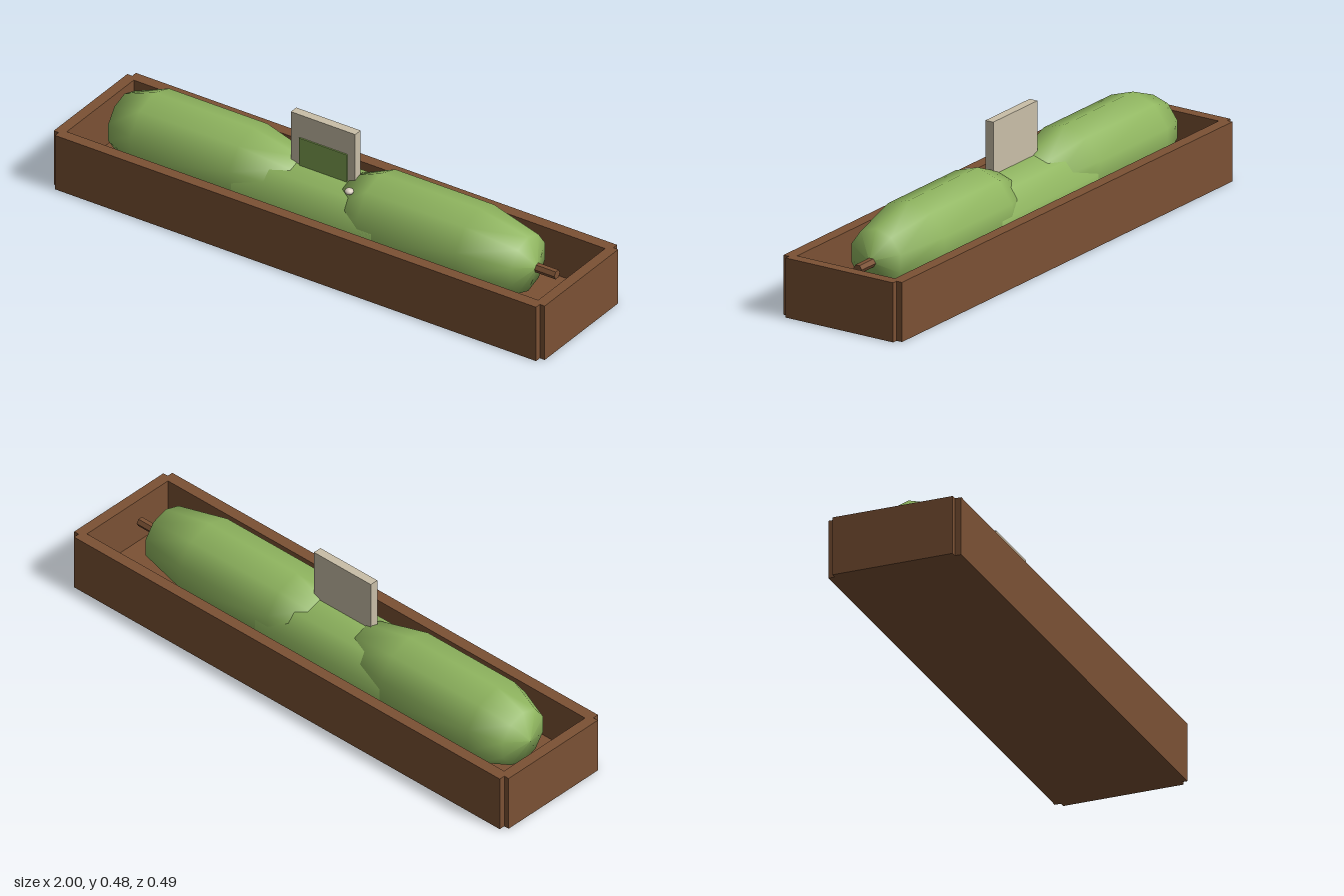
import * as THREE from 'three';

export function createModel() {
  const model = new THREE.Group();
  model.name = 'planterBox';

  const material = (name, color) => {
    const m = new THREE.MeshStandardMaterial({ color });
    m.name = name;
    return m;
  };
  const wood = material('brownWood', 0x7b5134);
  const leaf = material('leafGreen', 0x8fb55f);
  const board = material('paleBoard', 0xc9bfa8);
  const panelGreen = material('panelGreen', 0x80a352);
  const petal = material('palePetal', 0xd9cdbf);

  const add = (name, geometry, mat) => {
    const mesh = new THREE.Mesh(geometry, mat);
    mesh.name = name;
    model.add(mesh);
    return mesh;
  };

  // Box given by its extents on each axis
  const block = (name, mat, [x0, x1], [y0, y1], [z0, z1]) =>
    add(name, new THREE.BoxGeometry(x1 - x0, y1 - y0, z1 - z0), mat)
      .position.set((x0 + x1) / 2, (y0 + y1) / 2, (z0 + z1) / 2);

  // Trough: floor, long walls and slightly narrower end walls that stick out
  const rim = 0.213;
  block('floor', wood, [-0.97, 0.97], [0, 0.04], [-0.21, 0.21]);
  block('frontWall', wood, [-0.98, 0.98], [0, rim], [0.2, 0.2425]);
  block('backWall', wood, [-0.98, 0.98], [0, rim], [-0.2425, -0.2]);
  block('leftEndWall', wood, [0.96, 1], [0, rim], [-0.22, 0.22]);
  block('rightEndWall', wood, [-1, -0.96], [0, rim], [-0.22, 0.22]);

  // Ten-sided bush turned around the x axis; profile holds [x, radius]
  const bush = (name, y, heightScale, profile) => {
    const points = profile.map(([x, r]) => new THREE.Vector2(r, x));
    const geometry = new THREE.LatheGeometry(points, 10, Math.PI / 2);
    geometry.rotateZ(-Math.PI / 2);
    geometry.scale(1, heightScale, 1);
    add(name, geometry, leaf).position.y = y;
  };
  bush('rightBush', 0.192, 1,
    [[-0.895, 0], [-0.861, 0.104], [-0.74, 0.15], [-0.34, 0.15], [-0.145, 0.104], [-0.1, 0]]);
  bush('leftBush', 0.192, 1,
    [[0.04, 0], [0.07, 0.104], [0.182, 0.15], [0.583, 0.15], [0.783, 0.106], [0.822, 0]]);
  bush('middleBush', 0.15, 0.947,
    [[-0.42, 0], [-0.4, 0.104], [-0.33, 0.15], [0.24, 0.15], [0.31, 0.104], [0.33, 0]]);

  // Upright sign with a thin coloured panel on its front
  block('signBoard', board, [-0.166, 0.096], [0.2, 0.479], [-0.006, 0.026]);
  block('signPanel', panelGreen, [-0.13, 0.064], [0.24, 0.39], [0.026, 0.031]);

  // Stem poking out of the bush end
  const stemShape = new THREE.CylinderGeometry(0.017, 0.017, 0.16, 6).toNonIndexed();
  stemShape.rotateZ(Math.PI / 2);
  stemShape.computeVertexNormals();
  add('stem', stemShape, wood).position.set(0.818, 0.188, -0.004);

  // Small flower bud
  const bud = add('bud', new THREE.SphereGeometry(0.016, 10, 8), petal);
  bud.scale.y = 0.7;
  bud.position.set(0.112, 0.291, 0.086);

  return model;
}
